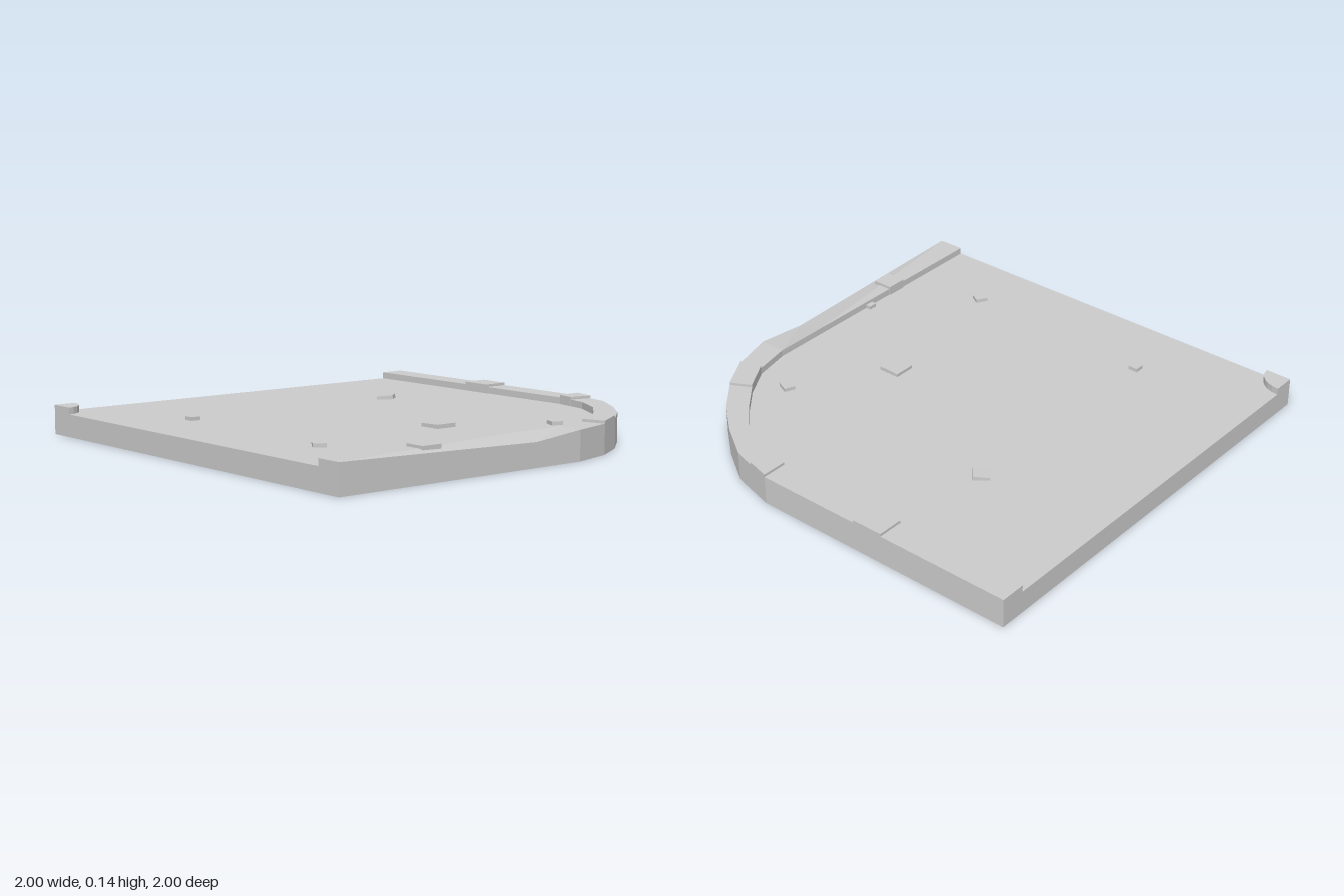
import * as THREE from 'three';

const ROAD = 0.1, CURB = 0.13, BRICK = 0.142;
const material = new THREE.MeshStandardMaterial({ color: 0xcccccc, flatShading: true, side: THREE.DoubleSide });

// Curb stations: outer x, outer z, inner x, inner z, outer edge height
const stations = [
  [1, 1, 0.88, 1, CURB],
  [1, 0, 0.88, 0, 0.104],
  [1, -0.246, 0.88, -0.246, CURB],
  [0.946, -0.444, 0.845, -0.417, CURB],
  [0.856, -0.6, 0.765, -0.55, CURB],
  [0.743, -0.733, 0.674, -0.658, CURB],
  [0.61, -0.845, 0.567, -0.765, CURB],
  [0.455, -0.946, 0.42, -0.85, CURB],
  [0.245, -1, 0.25, -0.887, CURB],
  [-1, -1, -1, -0.885, CURB],
];

function shapeFrom(points) {
  return new THREE.Shape(points.map(([x, z]) => new THREE.Vector2(x, -z)));
}

// Upright block with the given ground plan
function prism(points, y0, y1) {
  const g = new THREE.ExtrudeGeometry(shapeFrom(points), { depth: y1 - y0, bevelEnabled: false });
  return g.rotateX(-Math.PI / 2).translate(0, y0, 0);
}

// Outer wall, curb top and inner curb face, swept along the stations
function curbGeometry() {
  const pos = [], index = [];
  for (const [ox, oz, ix, iz, h] of stations) {
    pos.push(ox, 0, oz, ox, h, oz, ix, CURB, iz, ix, ROAD, iz);
  }
  for (let i = 0; i < stations.length - 1; i++) {
    for (let k = 0; k < 3; k++) {
      const a = i * 4 + k, b = a + 4;
      index.push(a, b, b + 1, a, b + 1, a + 1);
    }
  }
  // End caps above the road
  const e = (stations.length - 1) * 4, n = pos.length / 3;
  pos.push(1, ROAD, 1, -1, ROAD, -1);
  index.push(n, 1, 2, n, 2, 3, n + 1, e + 2, e + 1, n + 1, e + 3, e + 2);
  const g = new THREE.BufferGeometry();
  g.setAttribute('position', new THREE.Float32BufferAttribute(pos, 3));
  g.setIndex(index);
  const flat = g.toNonIndexed();
  flat.computeVertexNormals();
  return flat;
}

export function createModel() {
  const model = new THREE.Group();
  const add = (name, geometry) => {
    const mesh = new THREE.Mesh(geometry, material);
    mesh.name = name;
    model.add(mesh);
    return mesh;
  };

  // Road surface, open underneath
  const outline = [[-1, 1], ...stations.map(([x, , , , ], i) => [x, stations[i][1]])];
  add('roadSurface', new THREE.ShapeGeometry(shapeFrom(outline)).rotateX(-Math.PI / 2).translate(0, ROAD, 0));
  add('frontWall', new THREE.PlaneGeometry(2, ROAD).translate(0, ROAD / 2, 1));
  add('rightWall', new THREE.PlaneGeometry(2, ROAD).rotateY(-Math.PI / 2).translate(-1, ROAD / 2, 0));
  add('curb', curbGeometry());

  // Quarter-round curb in the inside corner
  const corner = [[-1, 1]];
  for (let i = 0; i <= 6; i++) {
    const a = (i / 6) * Math.PI / 2;
    corner.push([-1 + 0.12 * Math.cos(a), 1 - 0.1 * Math.sin(a)]);
  }
  add('cornerCurb', prism(corner, ROAD, CURB));

  // Raised curb stones
  const stones = [
    [[-0.385, -1], [-0.24, -1], [-0.24, -0.883], [-0.385, -0.883]],
    [[0.245, -1], [0.35, -0.973], [0.33, -0.868], [0.245, -0.885]],
    [[0.856, -0.6], [0.946, -0.444], [0.845, -0.414], [0.765, -0.55]],
    [[0.875, 0.475], [0.97, 0.475], [0.97, 0.57], [0.875, 0.57]],
  ];
  stones.forEach((p) => add('curbStone', prism(p, ROAD, BRICK)));

  // Loose paving stones: x, z, width, depth, turn, tilt
  const pebbles = [
    [-0.4, -0.4, 0.075, 0.065, 0.7, 0.12],
    [0.68, -0.42, 0.058, 0.05, -0.4, 0],
    [0.417, 0, 0.1, 0.1, 0, 0.03],
    [-0.4, 0.68, 0.045, 0.045, 0, 0],
    [0.52, 0.713, 0.045, 0.055, -0.55, 0],
    [0.875, 0.333, 0.04, 0.04, 0, 0],
  ];
  for (const [x, z, w, d, turn, tilt] of pebbles) {
    const stone = add('pavingStone', new THREE.BoxGeometry(w, 0.018, d));
    stone.position.set(x, 0.107, z);
    stone.rotation.set(0, turn, tilt);
  }
  return model;
}
